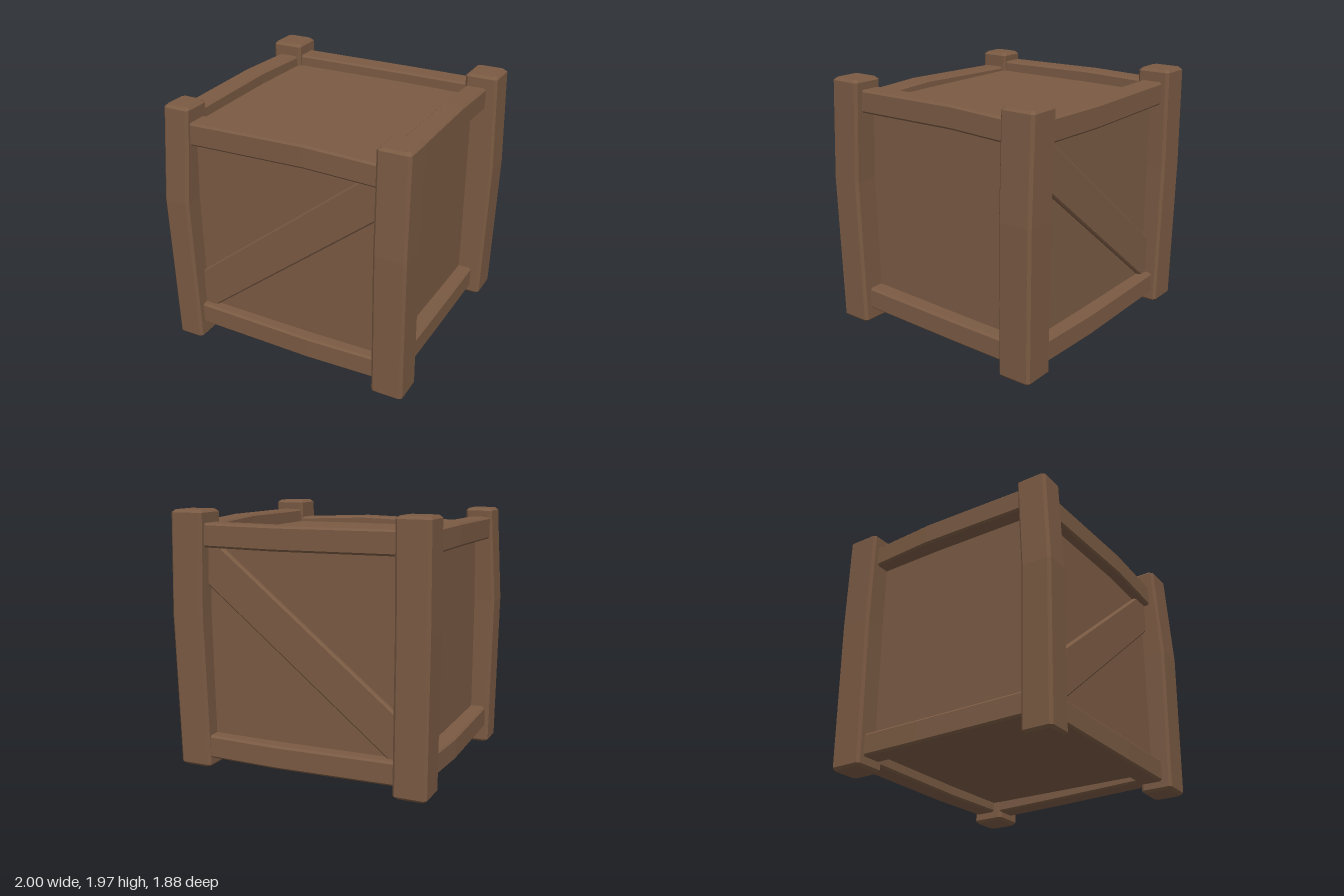
import * as THREE from 'three';

const wood = new THREE.MeshStandardMaterial({ color: 0x7a5a43 });
wood.name = 'brown wood';

// Chamfered, slightly bent beam along an axis; stations are centre points,
// sizes are the widths across the next two axes in x-y-z order.
function beam(name, axis, stations, su, sv, bevel = 0.02) {
  const k = 'xyz'.indexOf(axis), u = (k + 1) % 3, v = (k + 2) % 3;
  const ring = (c, shift, inset) => {
    const a = su / 2 - inset, b = sv / 2 - inset, e = bevel;
    return [[a, -b + e], [a, b - e], [a - e, b], [-a + e, b],
      [-a, b - e], [-a, -b + e], [-a + e, -b], [a - e, -b]].map(([p, q]) => {
      const pt = [...c];
      pt[k] += shift; pt[u] += p; pt[v] += q;
      return pt;
    });
  };
  const first = stations[0], last = stations[stations.length - 1];
  const rings = [ring(first, 0, bevel), ring(first, bevel, 0),
    ...stations.slice(1, -1).map((s) => ring(s, 0, 0)),
    ring(last, -bevel, 0), ring(last, 0, bevel)];
  const pos = [];
  const tri = (a, b, c) => pos.push(...a, ...b, ...c);
  for (let i = 0; i < rings.length - 1; i++) {
    for (let j = 0; j < 8; j++) {
      const n = (j + 1) % 8, r = rings[i], s = rings[i + 1];
      tri(r[j], r[n], s[n]);
      tri(r[j], s[n], s[j]);
    }
  }
  // End caps
  const lo = rings[0], hi = rings[rings.length - 1];
  for (let j = 1; j < 7; j++) {
    tri(lo[0], lo[j + 1], lo[j]);
    tri(hi[0], hi[j], hi[j + 1]);
  }
  const geo = new THREE.BufferGeometry();
  geo.setAttribute('position', new THREE.Float32BufferAttribute(pos, 3));
  geo.computeVertexNormals();
  return named(name, geo);
}

function named(name, geo) {
  const mesh = new THREE.Mesh(geo, wood);
  mesh.name = name;
  return mesh;
}

// Wide diagonal plank, its ends tucked behind the rails and posts
function diagonal(name, z) {
  const shape = new THREE.Shape([[-0.72, 0.25], [0.78, 1.452], [0.78, 1.72],
    [0.65, 1.72], [-0.8, 0.56], [-0.8, 0.25]].map(([x, y]) => new THREE.Vector2(x, y)));
  const geo = new THREE.ExtrudeGeometry(shape, {
    depth: 0.04, bevelEnabled: true, bevelSize: 0.012, bevelOffset: -0.012,
    bevelThickness: 0.012, bevelSegments: 1,
  });
  geo.translate(0, 0, z - 0.02);
  return named(name, geo);
}

export function createModel() {
  const crate = new THREE.Group();
  crate.name = 'wooden crate';

  // Inner box
  const box = named('panelBox', new THREE.BoxGeometry(1.62, 1.59, 1.56));
  box.position.set(-0.02, 0.995, -0.01);
  crate.add(box);

  // Corner posts
  crate.add(
    beam('frontLeftPost', 'y', [[0.85, 0.05, 0.795], [0.853, 1.2, 0.815], [0.845, 1.97, 0.775]], 0.25, 0.245),
    beam('frontRightPost', 'y', [[-0.87, 0, 0.79], [-0.885, 1.2, 0.805], [-0.855, 1.94, 0.755]], 0.235, 0.21),
    beam('backLeftPost', 'y', [[0.85, 0.05, -0.775], [0.872, 1.2, -0.795], [0.85, 1.97, -0.8]], 0.265, 0.255),
    beam('backRightPost', 'y', [[-0.865, 0.05, -0.8], [-0.875, 1.2, -0.81], [-0.868, 1.97, -0.805]], 0.26, 0.25),
  );

  // Front and back rails
  const railX = (name, [y0, y1, y2], [z0, z1, z2]) => crate.add(
    beam(name, 'x', [[-0.85, y0, z0], [0.17, y1, z1], [0.85, y2, z2]], 0.175, 0.175, 0.015));
  railX('frontTopRail', [1.735, 1.762, 1.735], [0.76, 0.77, 0.76]);
  railX('frontBottomRail', [0.208, 0.198, 0.208], [0.76, 0.77, 0.76]);
  railX('backTopRail', [1.79, 1.785, 1.79], [-0.795, -0.815, -0.795]);
  railX('backBottomRail', [0.21, 0.205, 0.21], [-0.795, -0.81, -0.795]);

  // Side rails
  const railZ = (name, [y0, y1, y2], [x0, x1, x2]) => crate.add(
    beam(name, 'z', [[x0, y0, -0.8], [x1, y1, -0.18], [x2, y2, 0.8]], 0.168, 0.172, 0.015));
  railZ('leftTopRail', [1.783, 1.812, 1.808], [0.812, 0.818, 0.824]);
  railZ('leftBottomRail', [0.197, 0.212, 0.242], [0.812, 0.818, 0.824]);
  railZ('rightTopRail', [1.785, 1.795, 1.785], [-0.85, -0.875, -0.862]);
  railZ('rightBottomRail', [0.215, 0.205, 0.22], [-0.85, -0.875, -0.862]);

  // Diagonal planks
  crate.add(diagonal('frontDiagonal', 0.77), diagonal('backDiagonal', -0.795));
  return crate;
}
